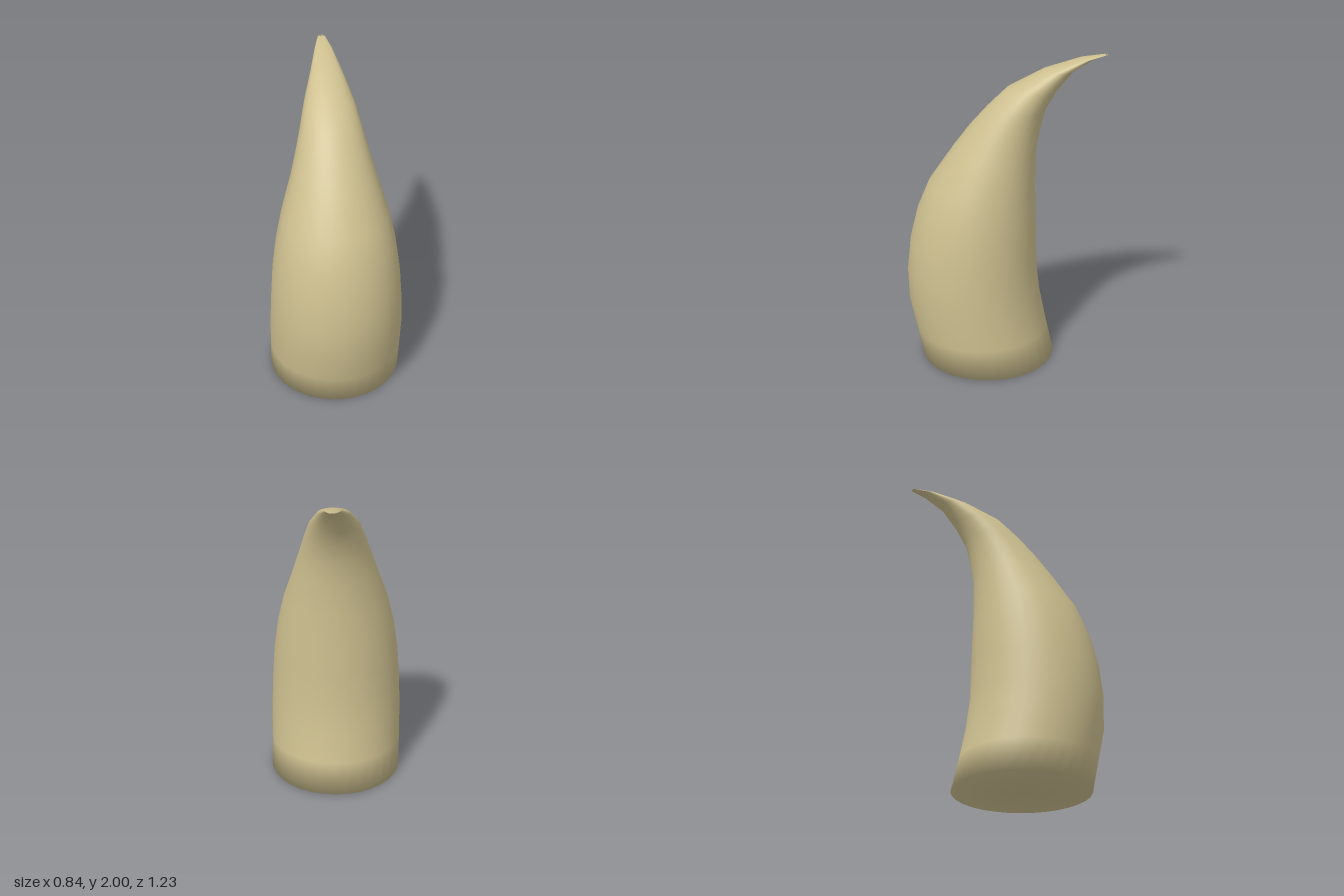
import * as THREE from 'three';

// Horizontal cross-sections: height, front z, back z, half width
const SECTIONS = [
  [0, 0.53, -0.315, 0.42],
  [0.2, 0.57, -0.27, 0.42],
  [0.4, 0.612, -0.23, 0.42],
  [0.6, 0.617, -0.205, 0.412],
  [0.8, 0.595, -0.2, 0.398],
  [1.0, 0.545, -0.195, 0.37],
  [1.18, 0.47, -0.19, 0.33],
  [1.4, 0.32, -0.195, 0.26],
  [1.54, 0.215, -0.22, 0.22],
  [1.66, 0.11, -0.25, 0.187],
  [1.78, -0.01, -0.32, 0.152],
  [1.9, -0.225, -0.415, 0.097],
  [1.975, -0.44, -0.535, 0.052],
  [2.0, -0.58, -0.612, 0.022],
];
const SIDES = 32;

// Lofts elliptical rings and closes both ends, sharing vertices for smooth normals
function loft(sections) {
  const positions = [];
  const index = [];
  for (const [y, front, back, halfWidth] of sections) {
    for (let i = 0; i < SIDES; i++) {
      const a = (i / SIDES) * Math.PI * 2;
      positions.push(
        halfWidth * Math.cos(a),
        y,
        (front + back) / 2 + ((front - back) / 2) * Math.sin(a)
      );
    }
  }
  const top = (sections.length - 1) * SIDES;
  const bottomCentre = sections.length * SIDES;
  for (const [y, front, back] of [sections[0], sections[sections.length - 1]]) {
    positions.push(0, y, (front + back) / 2);
  }
  for (let i = 0; i < SIDES; i++) {
    const next = (i + 1) % SIDES;
    for (let base = 0; base < top; base += SIDES) {
      const a = base + i;
      const b = base + next;
      index.push(a, a + SIDES, b, b, a + SIDES, b + SIDES);
    }
    index.push(bottomCentre, i, next);
    index.push(bottomCentre + 1, top + next, top + i);
  }
  const geometry = new THREE.BufferGeometry();
  geometry.setAttribute('position', new THREE.Float32BufferAttribute(positions, 3));
  geometry.setIndex(index);
  geometry.computeVertexNormals();
  return geometry;
}

export function createModel() {
  const group = new THREE.Group();
  group.name = 'curvedHorn';

  const ivory = new THREE.MeshStandardMaterial({ color: 0xcdbf8f });
  ivory.name = 'ivory';

  // Horn sweeping backwards to a fine tip
  const horn = new THREE.Mesh(loft(SECTIONS), ivory);
  horn.name = 'horn';
  group.add(horn);

  return group;
}
